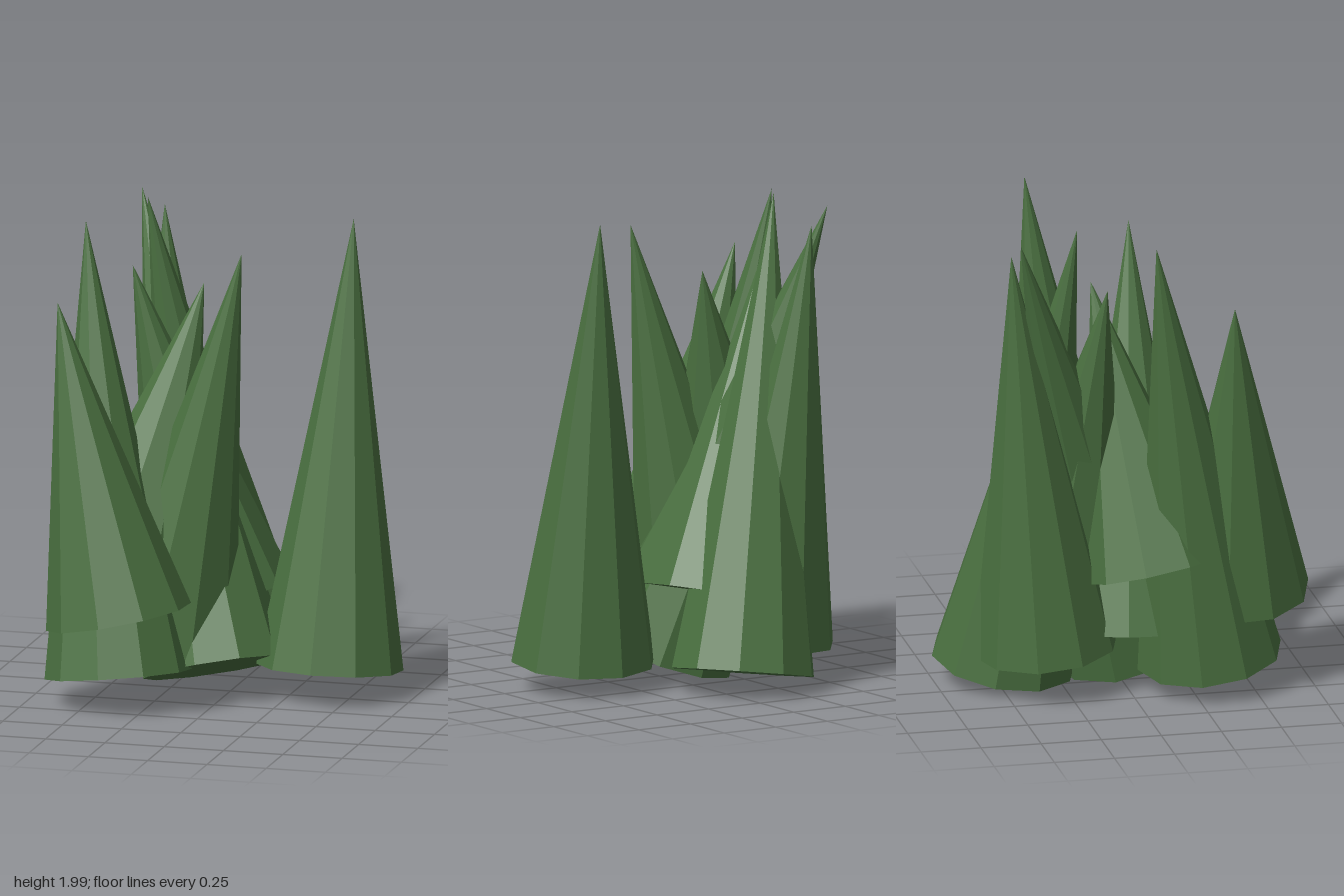
import * as THREE from 'three';

const UP = new THREE.Vector3(0, 1, 0);
const RADIUS = 0.3;
const SIDES = 10;

// Each tree: centre of the base, then the tip
const TREES = [
  { name: 'loneTree', base: [0.405, 0.122, -0.05], tip: [0.45, 1.95, -0.25] },
  { name: 'frontTree', base: [-0.345, 0.4, 0.455], tip: [-0.62, 1.68, 0.39] },
  { name: 'frontLowerTree', base: [-0.38, 0.13, 0.335], tip: [-0.59, 1.95, 0.07] },
  { name: 'middleTree', base: [-0.26, 0.22, 0.06], tip: [0.075, 1.86, 0.1] },
  { name: 'backTree', base: [-0.105, 0.08, -0.46], tip: [-0.41, 1.995, -0.22] },
  { name: 'leaningTree', base: [-0.05, 0.11, 0.04], tip: [-0.505, 1.97, -0.475] },
  { name: 'backCornerTree', base: [-0.285, 0.19, -0.325], tip: [-0.415, 1.9, -0.495] },
  { name: 'sideTree', base: [-0.405, 0.53, 0.105], tip: [-0.14, 1.68, -0.105] },
  { name: 'innerTree', base: [-0.115, 0.37, -0.235], tip: [-0.44, 1.735, -0.1] },
];

// A ten-sided cone tilted from its base centre towards its tip
function makeTree({ name, base, tip }, material) {
  const from = new THREE.Vector3(...base);
  const to = new THREE.Vector3(...tip);
  const axis = to.clone().sub(from);
  const mesh = new THREE.Mesh(new THREE.ConeGeometry(RADIUS, axis.length(), SIDES), material);
  mesh.name = name;
  mesh.position.copy(from).add(to).multiplyScalar(0.5);
  mesh.quaternion.setFromUnitVectors(UP, axis.normalize());
  return mesh;
}

export function createModel() {
  const foliage = new THREE.MeshStandardMaterial({ color: 0x4a7040, flatShading: true });
  foliage.name = 'foliageGreen';

  const group = new THREE.Group();
  group.name = 'treeCluster';
  for (const tree of TREES) group.add(makeTree(tree, foliage));
  return group;
}
